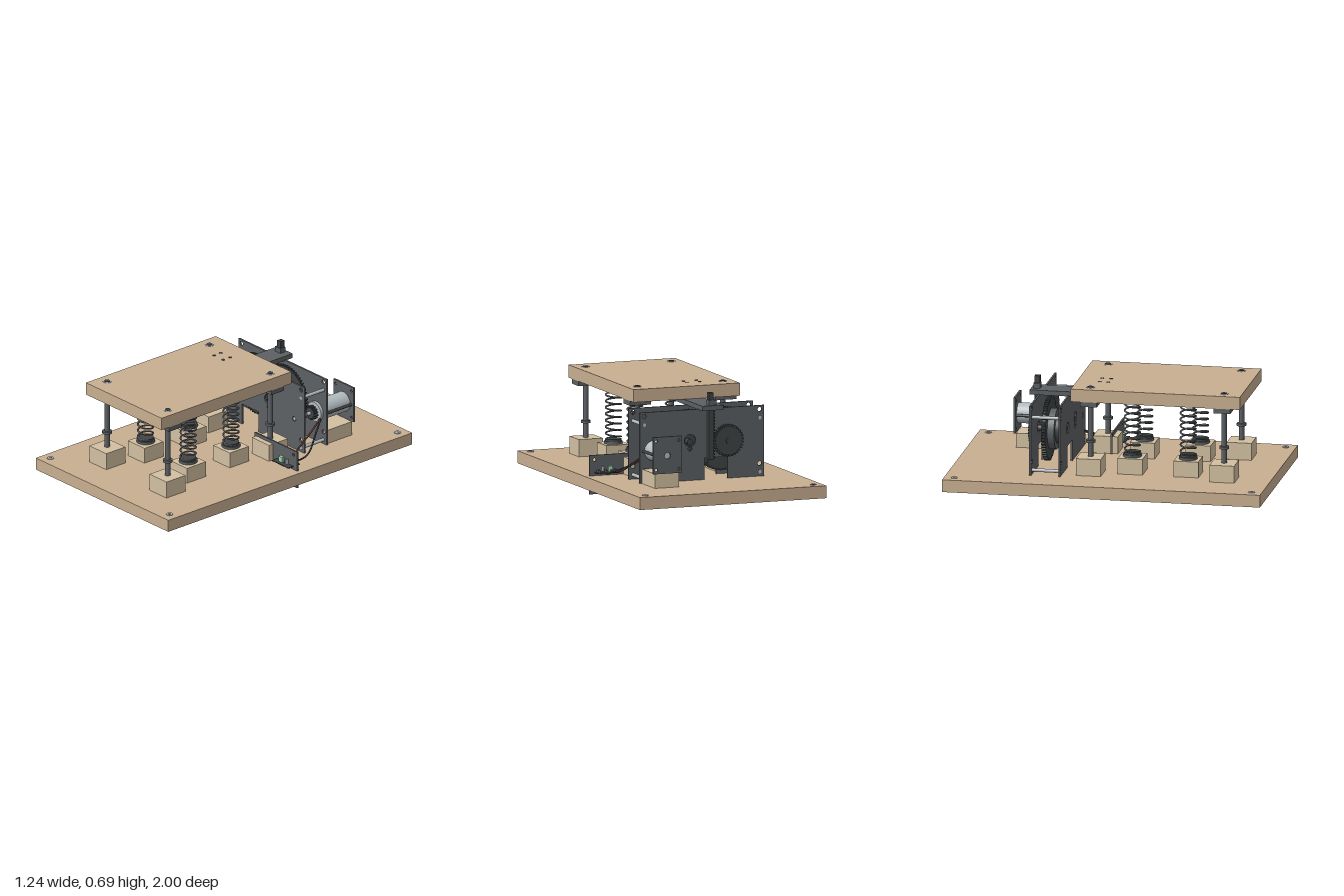
import * as THREE from 'three';

const mat = (color) => new THREE.MeshStandardMaterial({ color });
const wood = mat(0xc8ae90), paleWood = mat(0xd2c0a2), metal = mat(0x5c6063), dark = mat(0x404446);
const steel = mat(0xb4bcc0), green = mat(0x9fd8ae), red = mat(0x6a3a36);

export function createModel() {
  const root = new THREE.Group();

  const add = (name, geo, material, x = 0, y = 0, z = 0) => {
    const m = new THREE.Mesh(geo, material);
    m.name = name;
    m.position.set(x, y, z);
    root.add(m);
    return m;
  };
  // box given by its min and max along each axis
  const box = (name, material, x0, x1, y0, y1, z0, z1) =>
    add(name, new THREE.BoxGeometry(x1 - x0, y1 - y0, z1 - z0), material, (x0 + x1) / 2, (y0 + y1) / 2, (z0 + z1) / 2);
  // upright cylinder from y0 to y1
  const post = (name, material, x, z, r, y0, y1) =>
    add(name, new THREE.CylinderGeometry(r, r, y1 - y0, 24), material, x, (y0 + y1) / 2, z);
  // cylinder lying along z from z0 to z1
  const axle = (name, material, x, y, r, z0, z1) => {
    const m = add(name, new THREE.CylinderGeometry(r, r, z1 - z0, 32), material, x, y, (z0 + z1) / 2);
    m.rotation.x = Math.PI / 2;
    return m;
  };
  // flat plate in the xy plane, centred on z, with round holes [x, y, r]
  const plate = (name, material, outline, holes, z, t) => {
    const s = new THREE.Shape(outline.map(([x, y]) => new THREE.Vector2(x, y)));
    for (const [x, y, r] of holes) s.holes.push(new THREE.Path().absarc(x, y, r, 0, Math.PI * 2, true));
    return add(name, new THREE.ExtrudeGeometry(s, { depth: t, bevelEnabled: false, curveSegments: 16 }), material, 0, 0, z - t / 2);
  };
  const rect = (x0, x1, y0, y1) => [[x0, y0], [x1, y0], [x1, y1], [x0, y1]];
  // spur gear facing z
  const gear = (name, material, x, y, r, teeth, z0, z1) => {
    const pts = [], root0 = r - Math.min(0.012, r * 0.25);
    for (let i = 0; i < teeth; i++) {
      [[0, root0], [0.3, root0], [0.45, r], [0.8, r]].forEach(([f, q]) => {
        const a = ((i + f) / teeth) * Math.PI * 2;
        pts.push(new THREE.Vector2(Math.cos(a) * q, Math.sin(a) * q));
      });
    }
    return add(name, new THREE.ExtrudeGeometry(new THREE.Shape(pts), { depth: z1 - z0, bevelEnabled: false }), material, x, y, z0);
  };
  const tube = (name, material, pts, r, n) => add(name, new THREE.TubeGeometry(
    new THREE.CatmullRomCurve3(pts.map((p) => new THREE.Vector3(...p))), n, r, 8), material);

  // base board with corner screws
  box('baseBoard', wood, -0.622, 0.622, 0.057, 0.135, -1, 1);
  for (const x of [-0.56, 0.56]) for (const z of [-0.935, 0.935]) {
    post('baseScrew', steel, x, z, 0.021, 0.1, 0.139);
    post('baseScrewSocket', metal, x, z, 0.009, 0.13, 0.14);
  }

  // moving platform
  box('platform', wood, -0.355, 0.355, 0.603, 0.683, -0.242, 0.822);
  for (const x of [-0.145, -0.057]) for (const z of [-0.1, -0.045]) post('armBolt', dark, x, z, 0.011, 0.57, 0.685);

  // guide rods, stop collars and their blocks
  for (const x of [-0.285, 0.285]) for (const z of [-0.13, 0.71]) {
    post('guideRod', metal, x, z, 0.017, 0.003, 0.6);
    post('rodCollar', metal, x, z, 0.03, 0.333, 0.349);
    box('rodFlange', metal, x - 0.07, x + 0.07, 0.573, 0.603, z - 0.052, z + 0.052);
    post('rodWasher', steel, x, z, 0.027, 0.68, 0.685);
    post('rodScrew', dark, x, z, 0.018, 0.68, 0.688);
    const bx = x + Math.sign(x) * -0.002;
    box('rodBlock', paleWood, bx - 0.08, bx + 0.08, 0.135, 0.243, z - 0.078, z + 0.078);
  }

  // coil springs standing in cups on blocks
  const coil = [], turns = 8.5;
  for (let i = 0; i <= turns * 16; i++) {
    const a = (i / 16) * Math.PI * 2;
    coil.push([Math.cos(a) * 0.048, 0.255 + (0.343 * i) / (turns * 16), Math.sin(a) * 0.048]);
  }
  for (const x of [-0.2, 0.2]) for (const z of [0.117, 0.468]) {
    box('springBlock', paleWood, x - 0.078, x + 0.078, 0.135, 0.235, z - 0.078, z + 0.078);
    post('springCupFoot', metal, x, z, 0.058, 0.235, 0.25);
    post('springCup', dark, x, z, 0.05, 0.25, 0.265);
    tube('spring', metal, coil, 0.0055, 230).position.set(x, 0, z);
  }

  // gearbox plates, with a notch at the foot for the large gear
  const outline = [[-0.415, 0.135], [-0.17, 0.135], [-0.17, 0.27], [-0.016, 0.27], [-0.016, 0.135],
    [0.415, 0.135], [0.415, 0.578], [-0.415, 0.578]];
  const holes = [[-0.165, 0.383, 0.036], [0.08, 0.385, 0.038], [0.08, 0.333, 0.014], [0.32, 0.336, 0.016]];
  for (const x of [-0.385, 0.385]) holes.push([x, 0.553, 0.014], [x, 0.215, 0.014]);
  plate('gearboxFrontPlate', metal, outline, holes, -0.302, 0.012);
  plate('gearboxBackPlate', metal, outline, holes, -0.485, 0.012);
  for (const x of [-0.385, 0.385]) for (const y of [0.163, 0.5]) axle('plateSpacer', steel, x, y, 0.011, -0.493, -0.294);

  // gear train
  const [ax, ay] = [-0.165, 0.375];
  axle('mainShaft', dark, ax, ay, 0.02, -0.535, -0.3);
  gear('mainGear', dark, ax, ay, 0.2, 60, -0.428, -0.402);
  axle('mainGearHub', metal, ax, ay, 0.128, -0.402, -0.36);
  axle('mainGearBoss', dark, ax, ay, 0.09, -0.36, -0.318);
  gear('liftPinion', dark, ax, ay, 0.1, 32, -0.528, -0.497);
  axle('middleShaft', dark, 0.08, 0.375, 0.018, -0.49, -0.298);
  gear('middlePinion', dark, 0.08, 0.375, 0.047, 14, -0.43, -0.385);
  axle('middleCollar', metal, 0.08, 0.375, 0.032, -0.36, -0.335);
  gear('middleGear', dark, 0.08, 0.375, 0.2, 60, -0.448, -0.432);

  // toothed lifting bar and arm
  box('liftRack', dark, -0.064, -0.034, 0.26, 0.68, -0.525, -0.492);
  for (let i = 0; i < 16; i++) {
    const y = 0.27 + i * 0.019;
    box('rackTooth', dark, -0.074, -0.063, y, y + 0.009, -0.525, -0.492);
  }
  box('rackClamp', metal, -0.08, -0.03, 0.6, 0.635, -0.53, -0.488);
  box('liftArm', metal, -0.122, 0.02, 0.573, 0.603, -0.545, 0.052);

  // motor with pinion, rear plate and support block
  axle('motor', steel, 0.32, 0.336, 0.064, -0.7, -0.46);
  axle('motorShaft', steel, 0.32, 0.336, 0.012, -0.46, -0.298);
  gear('motorPinion', dark, 0.32, 0.336, 0.045, 14, -0.455, -0.425);
  axle('motorCoupling', metal, 0.32, 0.336, 0.02, -0.39, -0.32);
  const corners = [];
  for (const x of [0.245, 0.395]) for (const y of [0.25, 0.43]) {
    corners.push([x, y, 0.009]);
  }
  plate('motorRearPlate', metal, rect(0.225, 0.415, 0.225, 0.456), [...corners, [0.32, 0.336, 0.02]], -0.707, 0.012);
  for (const x of [0.25, 0.39]) axle('motorTieRod', dark, x, 0.336, 0.009, -0.705, -0.485);
  box('motorBlock', paleWood, 0.24, 0.4, 0.135, 0.225, -0.7, -0.492);

  // control board let into the base
  plate('controlPlate', metal, rect(0.19, 0.59, 0.02, 0.264),
    [[0.555, 0.235, 0.01], [0.555, 0.045, 0.01], [0.225, 0.235, 0.01], [0.225, 0.045, 0.01]], -0.09, 0.01);
  box('circuitBoard', dark, 0.4, 0.555, 0.152, 0.158, -0.14, -0.045);
  box('terminal', green, 0.437, 0.468, 0.158, 0.192, -0.106, -0.066);
  box('pinHeader', steel, 0.5, 0.51, 0.158, 0.192, -0.12, -0.06);
  for (const x of [0.42, 0.48, 0.53]) box('chip', metal, x, x + 0.014, 0.158, 0.172, -0.132, -0.1);

  // wires from motor to board
  tube('blackWire', dark, [[0.37, 0.3, -0.47], [0.41, 0.25, -0.4], [0.5, 0.18, -0.26], [0.512, 0.162, -0.2], [0.51, 0.162, -0.12]], 0.0055, 40);
  tube('redWire', red, [[0.37, 0.31, -0.47], [0.395, 0.26, -0.38], [0.42, 0.19, -0.25], [0.445, 0.165, -0.18], [0.448, 0.165, -0.1]], 0.0055, 40);

  return root;
}
